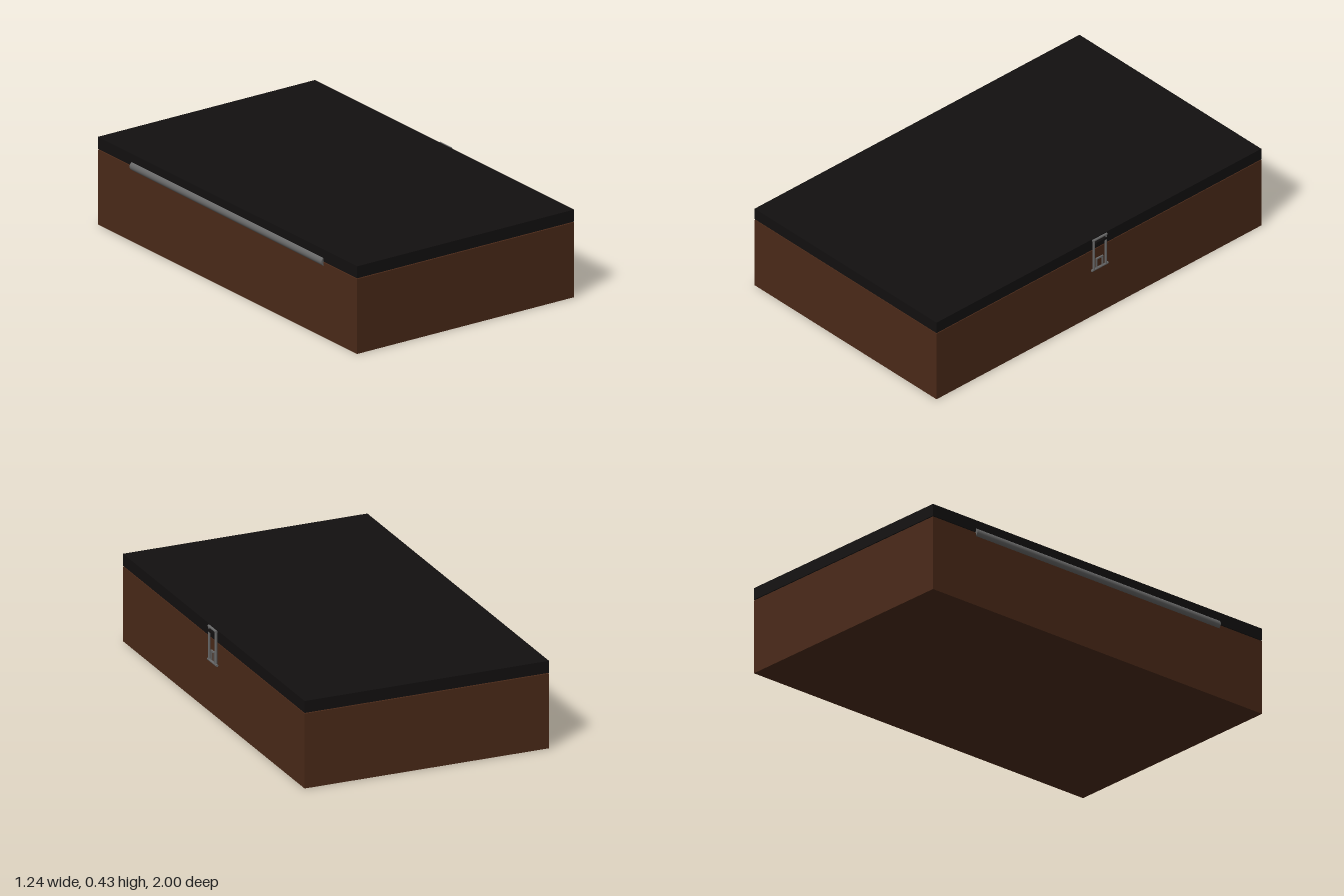
import * as THREE from 'three';

const material = (color) => new THREE.MeshStandardMaterial({ color });

export function createModel() {
  const model = new THREE.Group();
  model.name = 'hingedBox';
  const wood = material(0x4a2918);
  const black = material(0x121010);
  const steel = material(0x666666);

  const add = (parent, name, geometry, mat, x, y, z) => {
    const mesh = new THREE.Mesh(geometry, mat);
    mesh.name = name;
    mesh.position.set(x, y, z);
    parent.add(mesh);
    return mesh;
  };
  const box = (parent, name, mat, w, h, d, x, y, z) =>
    add(parent, name, new THREE.BoxGeometry(w, h, d), mat, x, y, z);

  const cx = -0.004, width = 1.212, depth = 2, wall = 0.03;
  const trayTop = 0.363, lidBottom = 0.367, lidTop = 0.425;

  // Open wooden tray: floor and four walls
  const tray = new THREE.Group();
  tray.name = 'tray';
  model.add(tray);
  box(tray, 'floor', wood, width, wall, depth, cx, wall / 2, 0);
  const wallHeight = trayTop - wall, wallY = wall + wallHeight / 2;
  for (const s of [-1, 1]) {
    box(tray, 'sideWall', wood, wall, wallHeight, depth, cx + s * (width - wall) / 2, wallY, 0);
    box(tray, 'endWall', wood, width - 2 * wall, wallHeight, wall, cx, wallY, s * (depth - wall) / 2);
  }

  // Lid, resting a hairline above the tray
  box(model, 'lid', black, width, lidTop - lidBottom, depth, cx, (lidTop + lidBottom) / 2, 0);

  // Long hinge barrel along the right side
  const barrel = new THREE.CylinderGeometry(0.022, 0.022, 1.48, 24).rotateX(Math.PI / 2);
  add(model, 'hinge', barrel, steel, -0.599, 0.365, 0);

  // Latch on the left side: wire frame, top pin, bottom pivot and catch
  const latch = new THREE.Group();
  latch.name = 'latch';
  model.add(latch);
  const rod = (name, r, length, x, y, z, acrossZ) => {
    const g = new THREE.CylinderGeometry(r, r, length, 12);
    if (acrossZ) g.rotateX(Math.PI / 2);
    add(latch, name, g, steel, x, y, z);
  };
  for (const s of [-1, 1]) {
    rod('latchSideRod', 0.006, 0.166, 0.608, 0.338, s * 0.037, false);
    box(latch, 'catchPost', steel, 0.008, 0.05, 0.006, 0.606, 0.283, s * 0.018);
  }
  rod('latchTopRod', 0.006, 0.086, 0.608, 0.419, 0, true);
  rod('latchPivot', 0.006, 0.1, 0.608, 0.257, 0, true);
  box(latch, 'catchBar', steel, 0.008, 0.006, 0.042, 0.606, 0.308, 0);
  box(latch, 'lidHook', black, 0.02, 0.01, 0.066, 0.61, 0.405, 0);

  return model;
}
